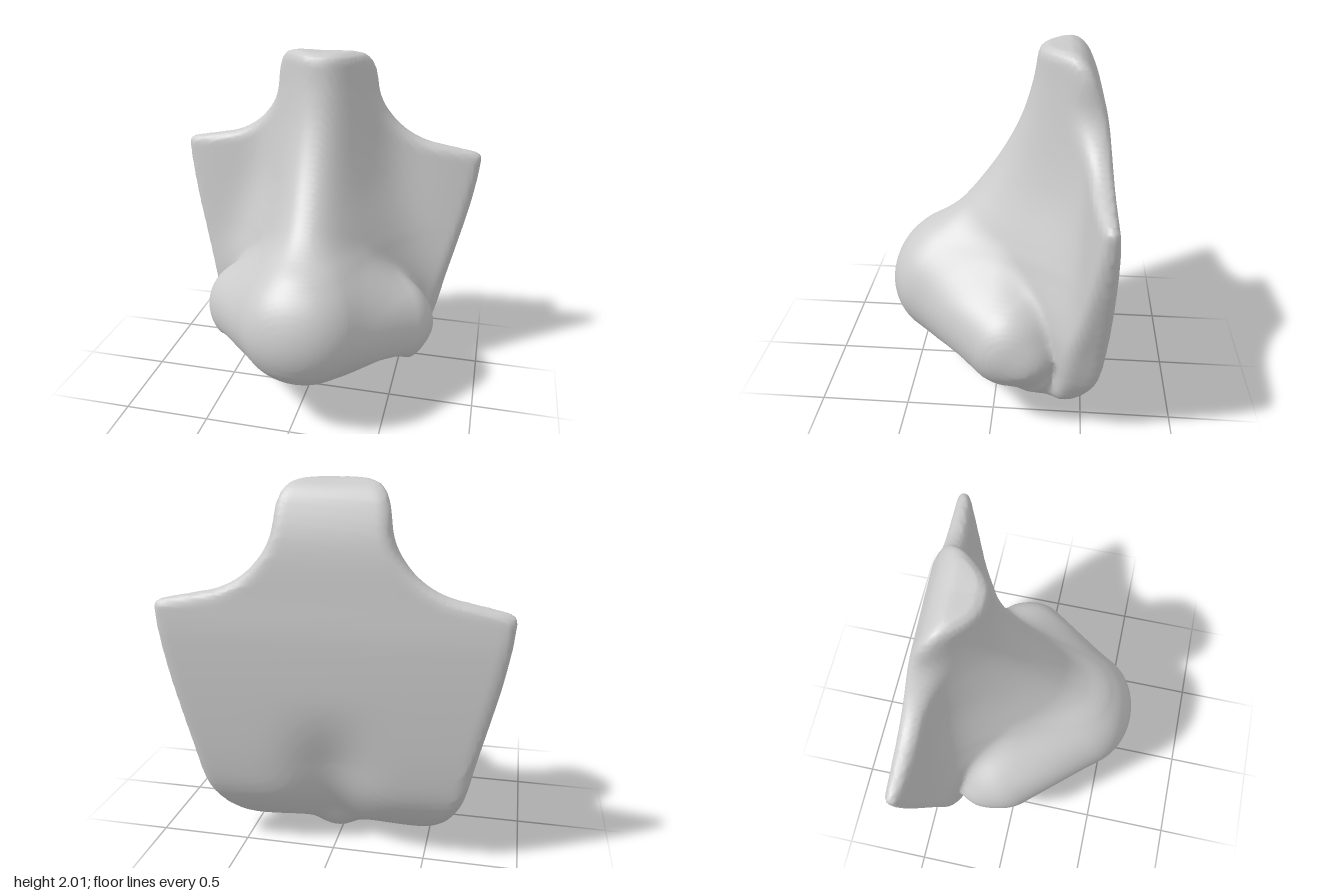
import * as THREE from 'three';

// Smooth curve through [position, value] pairs
function profile(pts) {
  const slope = (i) => {
    const a = pts[Math.max(i - 1, 0)], b = pts[Math.min(i + 1, pts.length - 1)];
    return (b[1] - a[1]) / (b[0] - a[0]);
  };
  return (t) => {
    if (t <= pts[0][0]) return pts[0][1];
    for (let i = 0; i < pts.length - 1; i++) {
      const [t0, v0] = pts[i], [t1, v1] = pts[i + 1];
      if (t > t1) continue;
      const h = t1 - t0, s = (t - t0) / h, s2 = s * s, s3 = s2 * s;
      return (2 * s3 - 3 * s2 + 1) * v0 + (s3 - 2 * s2 + s) * h * slope(i)
        + (3 * s2 - 2 * s3) * v1 + (s3 - s2) * h * slope(i + 1);
    }
    return pts[pts.length - 1][1];
  };
}

// Smooth union and intersection of distances
const smin = (a, b, k) => {
  const h = Math.max(k - Math.abs(a - b), 0) / k;
  return Math.min(a, b) - h * h * k / 4;
};
const smax = (a, b, k) => -smin(-a, -b, k);

function ellipsoid(x, y, z, rx, ry, rz) {
  const a = Math.hypot(x / rx, y / ry, z / rz);
  const b = Math.hypot(x / (rx * rx), y / (ry * ry), z / (rz * rz));
  return b < 1e-6 ? -Math.min(rx, ry, rz) : a * (a - 1) / b;
}

// Round bar between two points, each with its own radius
function bar(x, y, z, [x0, y0, z0, r0], [x1, y1, z1, r1]) {
  const dx = x1 - x0, dy = y1 - y0, dz = z1 - z0;
  const dot = (x - x0) * dx + (y - y0) * dy + (z - z0) * dz;
  const t = THREE.MathUtils.clamp(dot / (dx * dx + dy * dy + dz * dz), 0, 1);
  return Math.hypot(x - x0 - t * dx, y - y0 - t * dy, z - z0 - t * dz) - r0 - t * (r1 - r0);
}

// Half of the face plate's front outline
const outline = new THREE.SplineCurve([
  [0, 0.03], [0.12, 0.06], [0.25, 0.1], [0.48, 0.1], [0.6, 0.17], [0.68, 0.3], [0.72, 0.42],
  [0.76, 0.6], [0.81, 0.8], [0.87, 1.05], [0.915, 1.3], [0.91, 1.395], [0.75, 1.43], [0.58, 1.465],
  [0.45, 1.535], [0.355, 1.635], [0.305, 1.74], [0.29, 1.88], [0.265, 1.96], [0.2, 2], [0, 2],
].map(([x, y]) => new THREE.Vector2(x, y))).getPoints(100);

function outlineDistance(x, y) {
  x = Math.abs(x);
  let best = Infinity, inside = false;
  for (let i = 0; i < outline.length - 1; i++) {
    const a = outline[i], b = outline[i + 1];
    const dx = b.x - a.x, dy = b.y - a.y;
    const t = THREE.MathUtils.clamp(((x - a.x) * dx + (y - a.y) * dy) / (dx * dx + dy * dy), 0, 1);
    best = Math.min(best, Math.hypot(x - a.x - t * dx, y - a.y - t * dy));
    if ((a.y > y) !== (b.y > y) && x < a.x + (y - a.y) / dy * dx) inside = !inside;
  }
  return inside ? -best : best;
}

const ridge = profile([[0, -0.15], [0.2, -0.19], [0.35, -0.04], [0.45, 0.2], [0.6, 0.38], [0.75, 0.44],
  [0.9, 0.38], [1, 0.29], [1.2, 0.12], [1.4, -0.02], [1.6, -0.12], [1.8, -0.18], [2, -0.21]]);
const ridgeWidth = profile([[0, 0.4], [0.3, 0.4], [0.6, 0.42], [0.9, 0.36], [1.3, 0.29], [2, 0.27]]);
const rear = profile([[0, -0.25], [0.05, -0.33], [0.15, -0.44], [0.3, -0.54], [0.45, -0.58], [0.8, -0.605],
  [1.2, -0.61], [1.4, -0.595], [1.7, -0.56], [1.9, -0.49], [2, -0.42]]);

// The lower nose sits slightly to one side
const shift = (y) => 0.03 * (1 - THREE.MathUtils.smoothstep(y, 0.8, 1.5));

// Front of cheeks and bridge as a height over (x, y)
function frontZ(x, y) {
  const s = Math.abs(x - shift(y)) / ridgeWidth(y);
  const cheek = -0.52 + 0.1 * (1.4 - y) + 0.06 * (1 - (x / 0.9) ** 4) - 0.035 * x;
  return cheek + (ridge(y) - cheek) * Math.exp(-(s ** 2.4));
}

// Back surface, dished toward the middle below its centre
function backZ(x, y) {
  const dish = 0.4 * Math.exp(-((x / 0.2) ** 2)) * (1 - THREE.MathUtils.smoothstep(y, 0.5, 1));
  return THREE.MathUtils.lerp(rear(y), -0.2 - 0.41 * y, dish) - 0.035 * x + 0.01 * x * x;
}

// Everything depending only on (x, y)
function column(x, y) {
  const e = 0.01, front = frontZ(x, y);
  const sx = (frontZ(x + e, y) - front) / e, sy = (frontZ(x, y + e) - front) / e;
  return { front, back: backZ(x, y), edge: outlineDistance(x, y), steep: Math.hypot(1, sx, sy) };
}

function noseField(x, y, z, c) {
  const u = x - shift(y), m = Math.abs(u);
  // cheeks and bridge
  let d = smax((z - c.front) / c.steep, c.back - z, 0.04);
  d = smax(d, c.edge, 0.06);
  if (y > 1.3) return d;
  // tip running back into the wings, creased against the cheek
  const k = THREE.MathUtils.lerp(0.04, 0.2, THREE.MathUtils.smoothstep(z, -0.35, 0));
  const side = (s) => bar(s * u, y, z, [0.06, 0.59, 0.28, 0.31], [0.42, 0.47, -0.1, 0.27]);
  d = smin(d, smin(side(1), side(-1), 0.14), k);
  // nostrils
  d = smax(d, -ellipsoid(m - 0.36, y - 0.17, z - 0.05, 0.22, 0.24, 0.34), 0.06);
  // wings curling down behind the nostrils
  d = smin(d, bar(m, y, z, [0.53, 0.42, -0.19, 0.16], [0.51, 0.29, -0.23, 0.1]), 0.05);
  // septum, the lobe beneath it and the sills behind the nostrils
  const column = bar(u, y, z, [0, 0.43, 0.24, 0.16], [0, 0.13, -0.02, 0.11]);
  const lobe = bar(u, y, z, [0, 0.12, -0.02, 0.11], [0, 0.13, -0.22, 0.13]);
  const wall = ellipsoid(u, y - 0.38, z + 0.05, 0.1, 0.24, 0.33);
  const sill = bar(m, y, z, [0.1, 0.17, -0.17, 0.07], [0.45, 0.2, -0.27, 0.07]);
  const septum = smin(smin(column, lobe, 0.04), smin(wall, sill, 0.06), 0.06);
  return smin(d, septum, 0.07);
}

// Skin the zero level of the field with one vertex per crossed cell
function skin(min, size, step) {
  const [nx, ny, nz] = size.map((s) => Math.ceil(s / step) + 1);
  const at = (i, j, k) => (k * ny + j) * nx + i;
  const f = new Float32Array(nx * ny * nz);
  for (let j = 0; j < ny; j++) for (let i = 0; i < nx; i++) {
    const x = min[0] + i * step, y = min[1] + j * step, c = column(x, y);
    for (let k = 0; k < nz; k++) f[at(i, j, k)] = noseField(x, y, min[2] + k * step, c);
  }
  const corner = [0, 1, 2, 3, 4, 5, 6, 7].map((n) => [n & 1, (n >> 1) & 1, n >> 2]);
  const ids = new Int32Array(f.length).fill(-1), pos = [], index = [];
  for (let k = 0; k < nz - 1; k++) for (let j = 0; j < ny - 1; j++) for (let i = 0; i < nx - 1; i++) {
    const v = corner.map(([a, b, c]) => f[at(i + a, j + b, k + c)]);
    const p = [0, 0, 0];
    let n = 0;
    for (let a = 0; a < 8; a++) for (const bit of [1, 2, 4]) {
      const b = a | bit;
      if (b === a || (v[a] < 0) === (v[b] < 0)) continue;
      const t = v[a] / (v[a] - v[b]);
      for (let q = 0; q < 3; q++) p[q] += corner[a][q] + t * (corner[b][q] - corner[a][q]);
      n++;
    }
    if (!n) continue;
    ids[at(i, j, k)] = pos.length / 3;
    [i, j, k].forEach((g, q) => pos.push(min[q] + (g + p[q] / n) * step));
  }
  const stride = [1, nx, nx * ny];
  for (let k = 1; k < nz - 1; k++) for (let j = 1; j < ny - 1; j++) for (let i = 1; i < nx - 1; i++) {
    const o = at(i, j, k);
    for (let q = 0; q < 3; q++) {
      const inside = f[o] < 0;
      if (inside === (f[o + stride[q]] < 0)) continue;
      const s = stride[(q + 1) % 3], t = stride[(q + 2) % 3];
      const a = ids[o - s - t], b = ids[o - t], c = ids[o], d = ids[o - s];
      if (inside) index.push(a, b, c, a, c, d);
      else index.push(a, c, b, a, d, c);
    }
  }
  const geometry = new THREE.BufferGeometry();
  geometry.setAttribute('position', new THREE.Float32BufferAttribute(pos, 3));
  geometry.setIndex(index);
  geometry.computeVertexNormals();
  return geometry;
}

export function createModel() {
  const group = new THREE.Group();
  const geometry = skin([-1, -0.1, -0.76], [2, 2.2, 1.5], 0.02);
  const nose = new THREE.Mesh(geometry, new THREE.MeshStandardMaterial({ color: 0xcccccc }));
  nose.name = 'nose';
  // stand on the ground, centred
  geometry.computeBoundingBox();
  const mid = geometry.boundingBox.getCenter(new THREE.Vector3());
  nose.position.set(-mid.x, -geometry.boundingBox.min.y, -mid.z);
  group.add(nose);
  return group;
}
